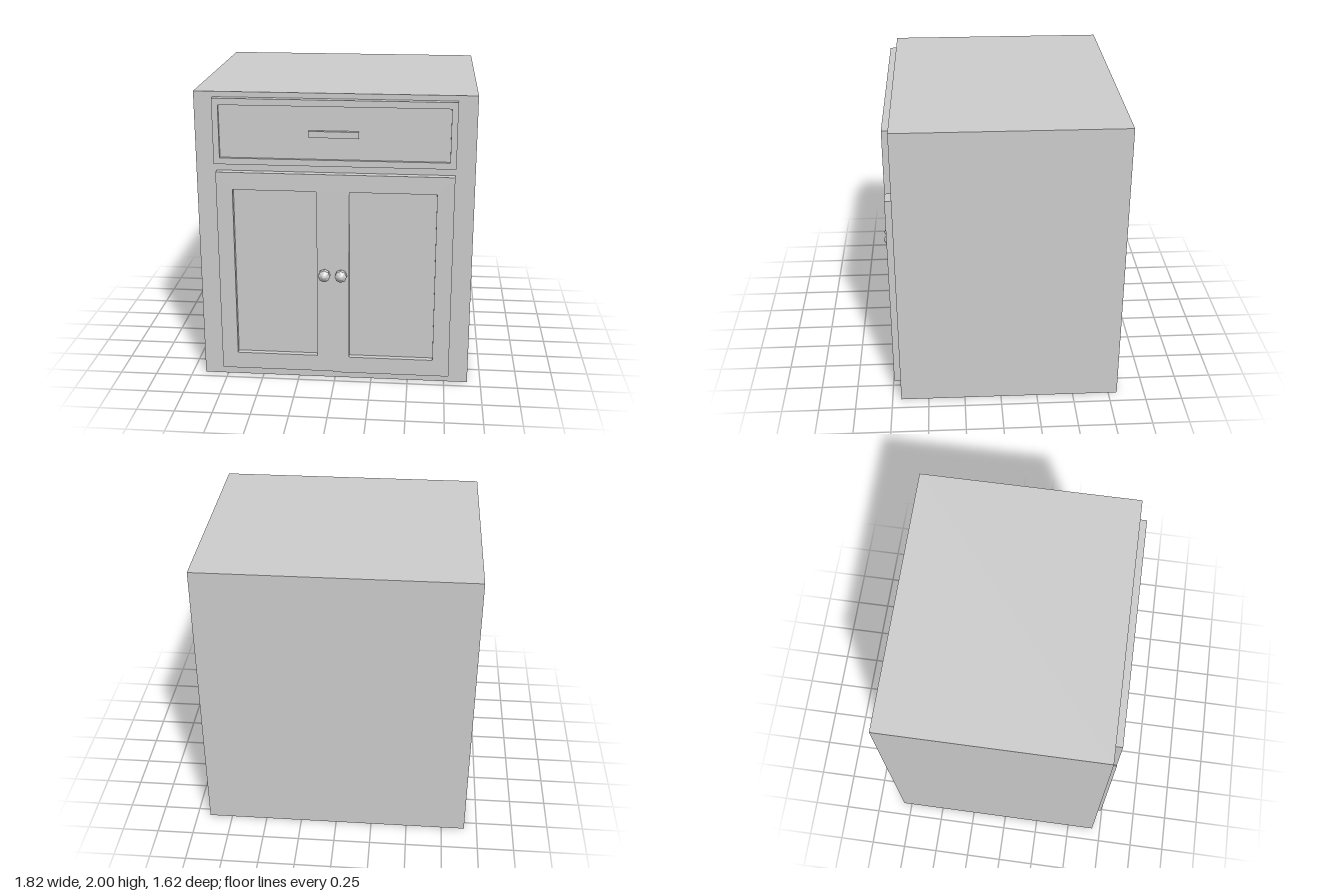
import * as THREE from 'three';

const BACK = -0.81, FRONT = 0.69;

const outline = (Type, x0, x1, y0, y1) => new Type([
  [x0, y0], [x1, y0], [x1, y1], [x0, y1],
].map(([x, y]) => new THREE.Vector2(x, y)));

export function createModel() {
  const model = new THREE.Group();
  const paint = new THREE.MeshStandardMaterial({ color: 0xcccccc });
  paint.name = 'light grey paint';
  const metal = paint.clone();
  metal.name = 'light grey faceted knob';
  metal.flatShading = true;

  const add = (name, geometry, material = paint) => {
    const mesh = new THREE.Mesh(geometry, material);
    mesh.name = name;
    model.add(mesh);
    return mesh;
  };
  const box = (name, x0, x1, y0, y1, z0, z1) =>
    add(name, new THREE.BoxGeometry(x1 - x0, y1 - y0, z1 - z0))
      .position.set((x0 + x1) / 2, (y0 + y1) / 2, (z0 + z1) / 2);

  // Frame standing on the carcass front, with openings cut through it
  const frame = (name, shape, openings, frontZ) => {
    shape.holes = openings.map((o) => outline(THREE.Path, ...o));
    add(name, new THREE.ExtrudeGeometry(shape, { depth: frontZ - FRONT, bevelEnabled: false }))
      .position.z = FRONT;
  };

  // Carcass
  box('carcass', -0.91, 0.91, 0, 2, BACK, FRONT);

  // Drawer front with a shallow recessed panel and a bar handle
  const drawerOpening = [-0.745, 0.745, 1.572, 1.922];
  frame('drawerFrame', outline(THREE.Shape, -0.785, 0.785, 1.53, 1.965), [drawerOpening], 0.736);
  box('drawerPanel', ...drawerOpening, FRONT, 0.715);
  box('drawerHandle', -0.163, 0.16, 1.72, 1.762, 0.71, 0.742);

  // Pair of doors, the left one reaching slightly lower
  const doorOpenings = [[-0.667, -0.115, 0.185, 1.36], [0.1, 0.668, 0.18, 1.36]];
  const doors = new THREE.Shape([
    [-0.775, 0.069], [-0.01, 0.069], [-0.01, 0.063], [0.78, 0.063], [0.78, 1.477], [-0.775, 1.477],
  ].map(([x, y]) => new THREE.Vector2(x, y)));
  frame('doorFrames', doors, doorOpenings, 0.741);
  doorOpenings.forEach((o, i) => box(i ? 'leftDoorPanel' : 'rightDoorPanel', ...o, FRONT, 0.703));

  // Eight-sided door knobs
  const profile = [[0.03, 0], [0.04, 0.012], [0.04, 0.046], [0.012, 0.068], [0, 0.071]]
    .map(([r, h]) => new THREE.Vector2(r, h));
  for (const [name, x] of [['rightKnob', -0.064], ['leftKnob', 0.047]]) {
    const knob = add(name, new THREE.LatheGeometry(profile, 8), metal);
    knob.rotation.x = Math.PI / 2;
    knob.position.set(x, 0.786, 0.739);
  }
  return model;
}
